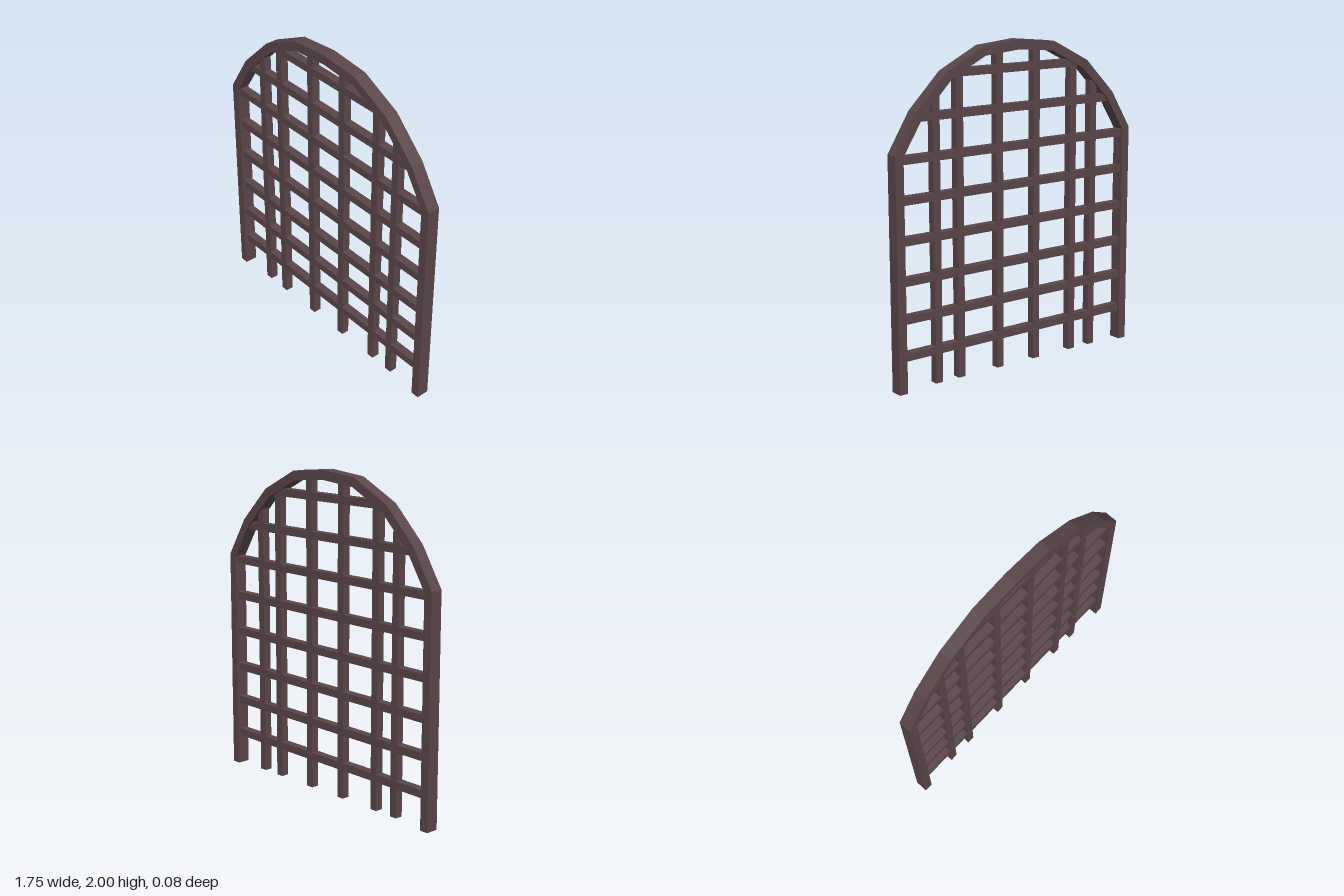
import * as THREE from 'three';

export function createModel() {
  const gate = new THREE.Group();
  gate.name = 'archedGate';
  const material = new THREE.MeshStandardMaterial({ color: 0x5a464a, flatShading: true });

  function addBar(name, width, height, depth, x, y) {
    const bar = new THREE.Mesh(new THREE.BoxGeometry(width, height, depth), material);
    bar.name = name;
    bar.position.set(x, y, 0);
    gate.add(bar);
  }

  // Arched frame: outer edge up and over, then back along the inner edge
  const outer = [[0.875, 0], [0.875, 1.4], [0.73, 1.635], [0.52, 1.845], [0.26, 1.975], [0, 2]];
  const inner = [[0.82, 0], [0.82, 1.39], [0.688, 1.6], [0.487, 1.8], [0.25, 1.918], [0, 1.94]];
  const mirrored = (side) => side.slice(0, -1).reverse().map(([x, y]) => [-x, y]);
  const outerArch = [...outer, ...mirrored(outer)];
  const innerArch = [...inner, ...mirrored(inner)].reverse();
  const outline = [...outerArch, ...innerArch].map(([x, y]) => new THREE.Vector2(x, y));
  const frameGeometry = new THREE.ExtrudeGeometry(new THREE.Shape(outline), { depth: 0.08, bevelEnabled: false });
  frameGeometry.translate(0, 0, -0.04);
  const frame = new THREE.Mesh(frameGeometry, material);
  frame.name = 'archedFrame';
  gate.add(frame);

  // Vertical bars in mirrored pairs, tops buried in the arch
  for (const [x, top] of [[0.138, 1.945], [0.425, 1.85], [0.588, 1.715]]) {
    for (const side of [-1, 1]) {
      addBar(side > 0 ? 'leftVerticalBar' : 'rightVerticalBar', 0.048, top - 0.01, 0.05, side * x, (top + 0.01) / 2);
    }
  }

  // Horizontal bars, shorter where the arch narrows
  const rows = [[0.214, 0.83], [0.436, 0.83], [0.661, 0.83], [0.898, 0.83],
    [1.134, 0.83], [1.367, 0.83], [1.6, 0.7], [1.834, 0.46]];
  for (const [y, half] of rows) addBar('horizontalBar', half * 2, 0.048, 0.052, 0, y);

  return gate;
}
